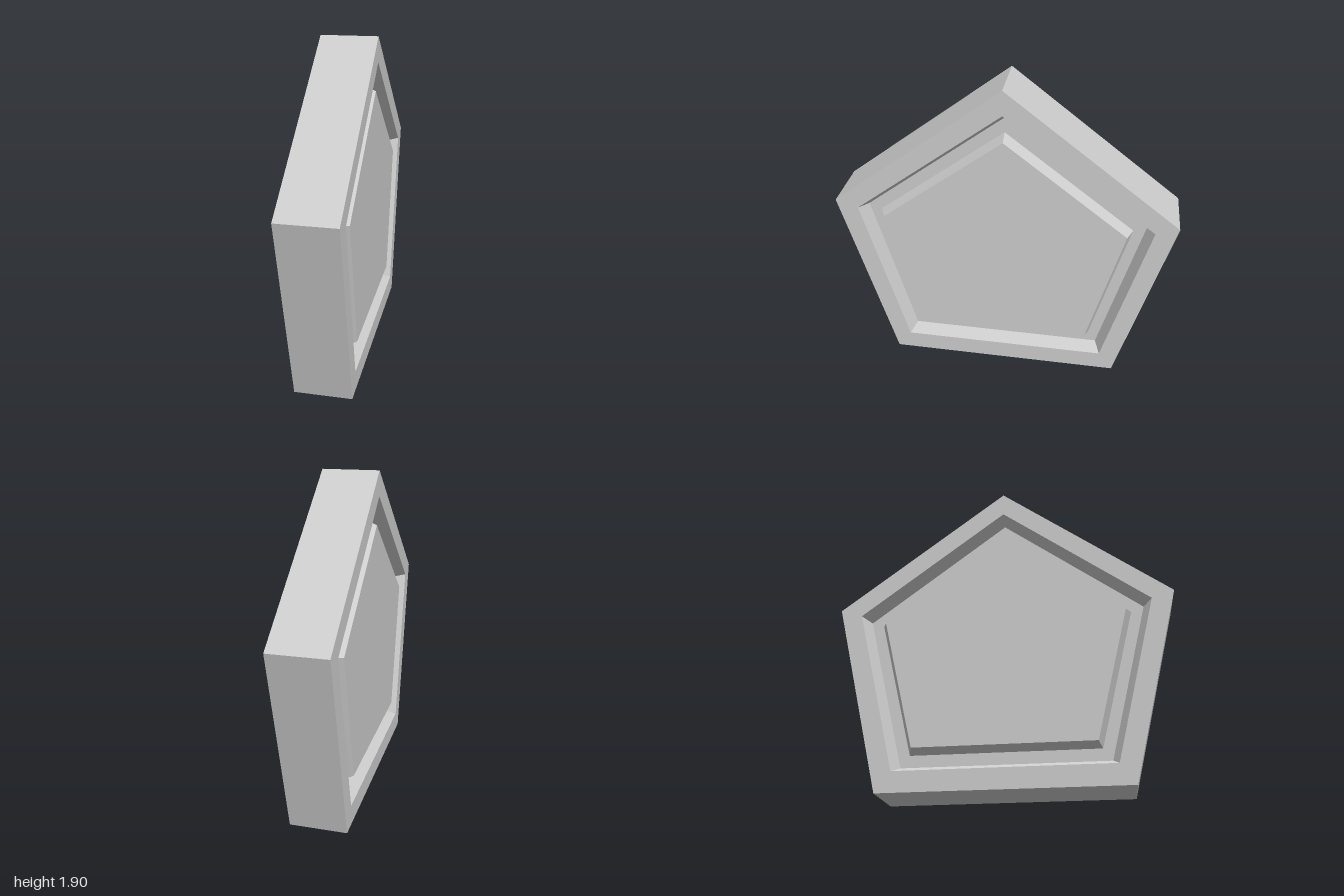
import * as THREE from 'three';

const HALF = 0.167;          // half thickness of the block
const FLOOR = HALF - 0.08;   // channel floor
const PANEL = HALF - 0.012;  // face of the raised panel

// Symmetric pentagon at depth x: apex height, side corner (z, y), bottom corner (z, y)
const ring = (x, top, sz, sy, bz, by) =>
  [[top, 0], [sy, sz], [by, bz], [by, -bz], [sy, -sz]].map(([y, z]) => new THREE.Vector3(x, y, z));

const outer = ring(HALF, 1.896, 1, 1.131, 0.709, 0);
const rim = ring(HALF, 1.751, 0.869, 1.088, 0.622, 0.12);
const channelOuter = ring(FLOOR, 1.706, 0.824, 1.075, 0.59, 0.155);
const channelInner = ring(FLOOR, 1.617, 0.749, 1.045, 0.54, 0.225);
const panelEdge = ring(PANEL, 1.586, 0.717, 1.035, 0.519, 0.252);

const mirror = (r) => r.map((p) => new THREE.Vector3(-p.x, p.y, p.z));

// Join successive rings (running inner to outer on +x) with flat faces
function loft(rings) {
  const pts = [];
  for (let k = 0; k < rings.length - 1; k++) {
    const a = rings[k], b = rings[k + 1];
    for (let i = 0; i < a.length; i++) {
      const j = (i + 1) % a.length;
      pts.push(a[i], b[i], a[j], a[j], b[i], b[j]);
    }
  }
  return pts;
}

// Flat pentagon cap as a triangle fan
function cap(r, flip) {
  const pts = [];
  for (let i = 1; i < r.length - 1; i++) {
    pts.push(r[0], ...(flip ? [r[i + 1], r[i]] : [r[i], r[i + 1]]));
  }
  return pts;
}

function part(name, pts) {
  const geometry = new THREE.BufferGeometry().setFromPoints(pts);
  geometry.computeVertexNormals();
  const mesh = new THREE.Mesh(geometry,
    new THREE.MeshStandardMaterial({ color: 0xcccccc, flatShading: true }));
  mesh.name = name;
  return mesh;
}

export function createModel() {
  const group = new THREE.Group();
  group.name = 'pentagonBlock';

  // Outer walls, rims and bevelled channels on both faces
  const half = [channelInner, channelOuter, rim, outer];
  group.add(part('frame', loft([...half, ...half.map(mirror).reverse()])));

  // Raised centre panel with sloped edges on each face
  group.add(part('leftPanel', [...cap(panelEdge, false), ...loft([panelEdge, channelInner])]));
  group.add(part('rightPanel', [
    ...cap(mirror(panelEdge), true),
    ...loft([mirror(channelInner), mirror(panelEdge)]),
  ]));
  return group;
}
